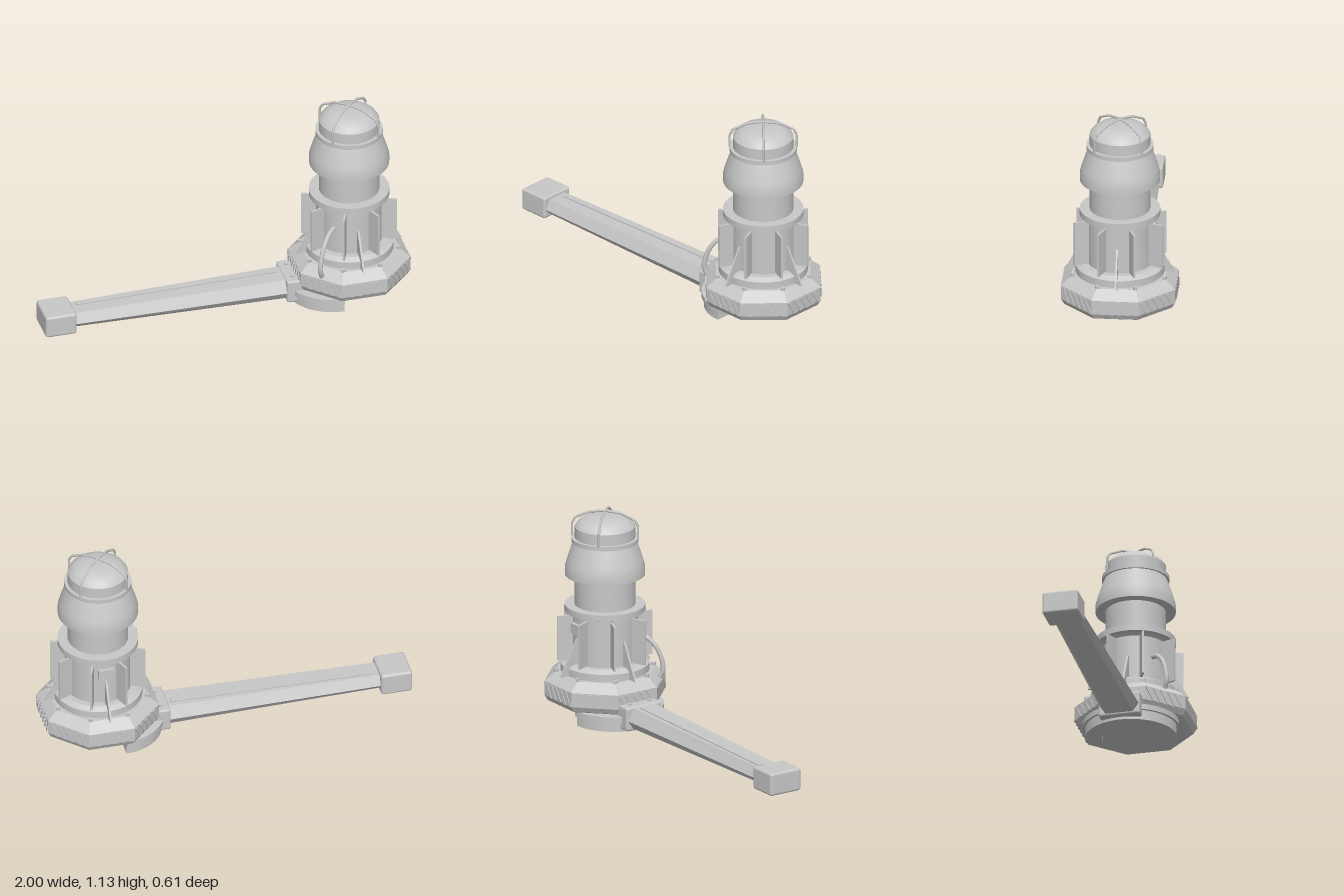
import * as THREE from 'three';
import { toCreasedNormals } from 'three/addons/utils/BufferGeometryUtils.js';
import { RoundedBoxGeometry } from 'three/addons/geometries/RoundedBoxGeometry.js';

const TOWER_X = 0.69;
const SIDES = 8;

export function createModel() {
  const model = new THREE.Group();
  const grey = new THREE.MeshStandardMaterial({ color: 0xc8c8c8 });
  grey.name = 'plain grey';

  const add = (parent, name, geometry, x = 0, y = 0, z = 0) => {
    const mesh = new THREE.Mesh(geometry, grey);
    mesh.name = name;
    mesh.position.set(x, y, z);
    parent.add(mesh);
    return mesh;
  };
  const lathe = (profile, segments = 48) => toCreasedNormals(
    new THREE.LatheGeometry(profile.map(([r, y]) => new THREE.Vector2(r, y)), segments), 0.45);
  const extrude = (points, depth) => new THREE.ExtrudeGeometry(
    new THREE.Shape(points.map(([x, y]) => new THREE.Vector2(x, y))), { depth, bevelEnabled: false });
  // Group turned about the tower axis; its +z points outwards
  const spoke = (parent, name, angle) => {
    const g = new THREE.Group();
    g.name = name;
    g.rotation.y = angle;
    parent.add(g);
    return g;
  };

  const tower = new THREE.Group();
  tower.name = 'tower';
  tower.position.x = TOWER_X;
  model.add(tower);

  // Octagonal base; profile given as distances to the flat sides
  const k = 1 / Math.cos(Math.PI / SIDES);
  const base = lathe([[0, 0.08], [0.262, 0.08], [0.286, 0.092], [0.302, 0.122], [0.302, 0.2],
    [0.25, 0.248], [0, 0.248]].map(([r, y]) => [r * k, y]), SIDES);
  base.rotateY(Math.PI / SIDES);
  add(tower, 'octagonalBase', base);

  // Stepped foot of the body
  add(tower, 'footRing', lathe([[0.236, 0.245], [0.236, 0.288], [0.208, 0.305], [0, 0.305]], 32));

  // Body, flange and neck
  add(tower, 'body', lathe([[0.174, 0.3], [0.174, 0.562], [0.185, 0.575]]));
  add(tower, 'flange', lathe([[0.16, 0.572], [0.213, 0.576], [0.213, 0.61], [0.155, 0.61]]));
  add(tower, 'neck', lathe([[0.16, 0.605], [0.16, 0.78]]));

  // Bell-shaped hood
  add(tower, 'hood', lathe([[0, 0.775], [0.212, 0.775], [0.212, 0.818], [0.203, 0.852], [0.19, 0.892],
    [0.177, 0.93], [0.167, 0.958], [0, 0.958]]));
  add(tower, 'collar', lathe([[0, 0.957], [0.178, 0.957], [0.178, 0.98], [0, 0.98]]));
  add(tower, 'dome', lathe([[0.16, 0.978], [0.16, 1.04], [0.145, 1.061], [0.12, 1.08], [0.085, 1.09],
    [0.045, 1.094], [0, 1.095]]));

  // Crossed wire cage over the dome
  const wire = [[-0.177, 0.975], [-0.177, 1.05], [-0.16, 1.08], [-0.085, 1.115], [0, 1.125],
    [0.085, 1.115], [0.16, 1.08], [0.177, 1.05], [0.177, 0.975]];
  for (const angle of [Math.PI / 4, -Math.PI / 4]) {
    const path = new THREE.CurvePath();
    const pts = wire.map(([x, y]) => new THREE.Vector3(x, y, 0));
    for (let i = 1; i < pts.length; i++) path.add(new THREE.LineCurve3(pts[i - 1], pts[i]));
    add(tower, 'cageWire', new THREE.TubeGeometry(path, 64, 0.0065, 6)).rotation.y = angle;
  }

  for (let i = 0; i < SIDES; i++) {
    const face = i * Math.PI / 4;

    // Upright fins and bolts, lined up with the base corners
    const fin = spoke(tower, 'finAndBolt', face + Math.PI / 8);
    add(fin, 'fin', new THREE.BoxGeometry(0.012, 0.245, 0.095), 0, 0.4325, 0.207);
    add(fin, 'bolt', new THREE.CylinderGeometry(0.011, 0.011, 0.016, 8), 0, 0.255, 0.263);

    // Raised slanted stripes on each base side
    const stripes = spoke(tower, 'stripes', face);
    for (let s = 0; s < 5; s++) {
      const x = -0.124 + s * 0.0445;
      add(stripes, 'stripe', extrude([[x, 0.195], [x + 0.045, 0.122], [x + 0.07, 0.122], [x + 0.025, 0.195]],
        0.006), 0, 0, 0.3);
    }

    // Triangular braces on every second side
    if (i % 2 === 0) {
      const brace = extrude([[0.165, 0.248], [0.288, 0.248], [0.182, 0.445], [0.165, 0.445]], 0.01);
      brace.translate(0, 0, -0.005);
      brace.rotateY(-Math.PI / 2);
      add(spoke(tower, 'braceMount', face), 'brace', brace);
    }
  }

  // Small box on the back of the body
  add(tower, 'backBox', new THREE.BoxGeometry(0.085, 0.055, 0.04), 0, 0.497, -0.172);

  // Bent cable from body to base
  const cable = new THREE.CatmullRomCurve3([[0.165, 0.45], [0.22, 0.435], [0.27, 0.39], [0.3, 0.33],
    [0.312, 0.26], [0.295, 0.215]].map(([r, y]) => new THREE.Vector3(0, y, r)));
  add(spoke(tower, 'cableMount', -Math.PI / 4), 'cable', new THREE.TubeGeometry(cable, 24, 0.013, 8));

  // Half-ring bracket under the base, open towards +x
  const halfRing = (inner, outer, height) => {
    const shape = new THREE.Shape();
    shape.absarc(0, 0, outer, Math.PI / 2, Math.PI * 1.5, false);
    shape.absarc(0, 0, inner, Math.PI * 1.5, Math.PI / 2, true);
    const g = new THREE.ExtrudeGeometry(shape, { depth: height, bevelEnabled: false, curveSegments: 24 });
    g.rotateX(-Math.PI / 2);
    return toCreasedNormals(g, 0.45);
  };
  add(model, 'bracket', halfRing(0.155, 0.245, 0.085), 0.595, 0, 0);
  add(model, 'bracketLip', halfRing(0.2, 0.258, 0.03), 0.595, 0.055, 0);

  // Tapered six-sided arm
  const section = (x, [zt, yt], [zm, ym], [zb, yb]) =>
    [[zt, yt], [zm, ym], [zb, yb], [-zb, yb], [-zm, ym], [-zt, yt]].map(([z, y]) => [x, y, z]);
  const a = section(-0.86, [0.057, 0.122], [0.085, 0.07], [0.06, 0.042]);
  const b = section(0.35, [0.07, 0.138], [0.106, 0.073], [0.075, 0.027]);
  const corners = [];
  for (let i = 0; i < 6; i++) {
    const j = (i + 1) % 6;
    corners.push(...a[i], ...a[j], ...b[j], ...a[i], ...b[j], ...b[i]);
  }
  const armGeometry = new THREE.BufferGeometry();
  armGeometry.setAttribute('position', new THREE.Float32BufferAttribute(corners, 3));
  armGeometry.computeVertexNormals();
  add(model, 'arm', armGeometry);

  // Thin rib along the arm's top
  const rib = add(model, 'armRib', new THREE.BoxGeometry(1.1, 0.01, 0.03), -0.25, 0.131, -0.028);
  rib.rotation.z = Math.atan2(0.016, 1.21);

  // End block and inner joint
  add(model, 'endBlock', new RoundedBoxGeometry(0.17, 0.125, 0.195, 2, 0.014), -0.915, 0.0785, -0.002);
  add(model, 'armJoint', new RoundedBoxGeometry(0.1, 0.13, 0.225, 2, 0.012), 0.37, 0.08, -0.002);
  for (const z of [-0.065, 0.06]) {
    add(model, 'jointBolt', new THREE.CylinderGeometry(0.011, 0.011, 0.012, 8), 0.363, 0.148, z);
  }

  return model;
}
